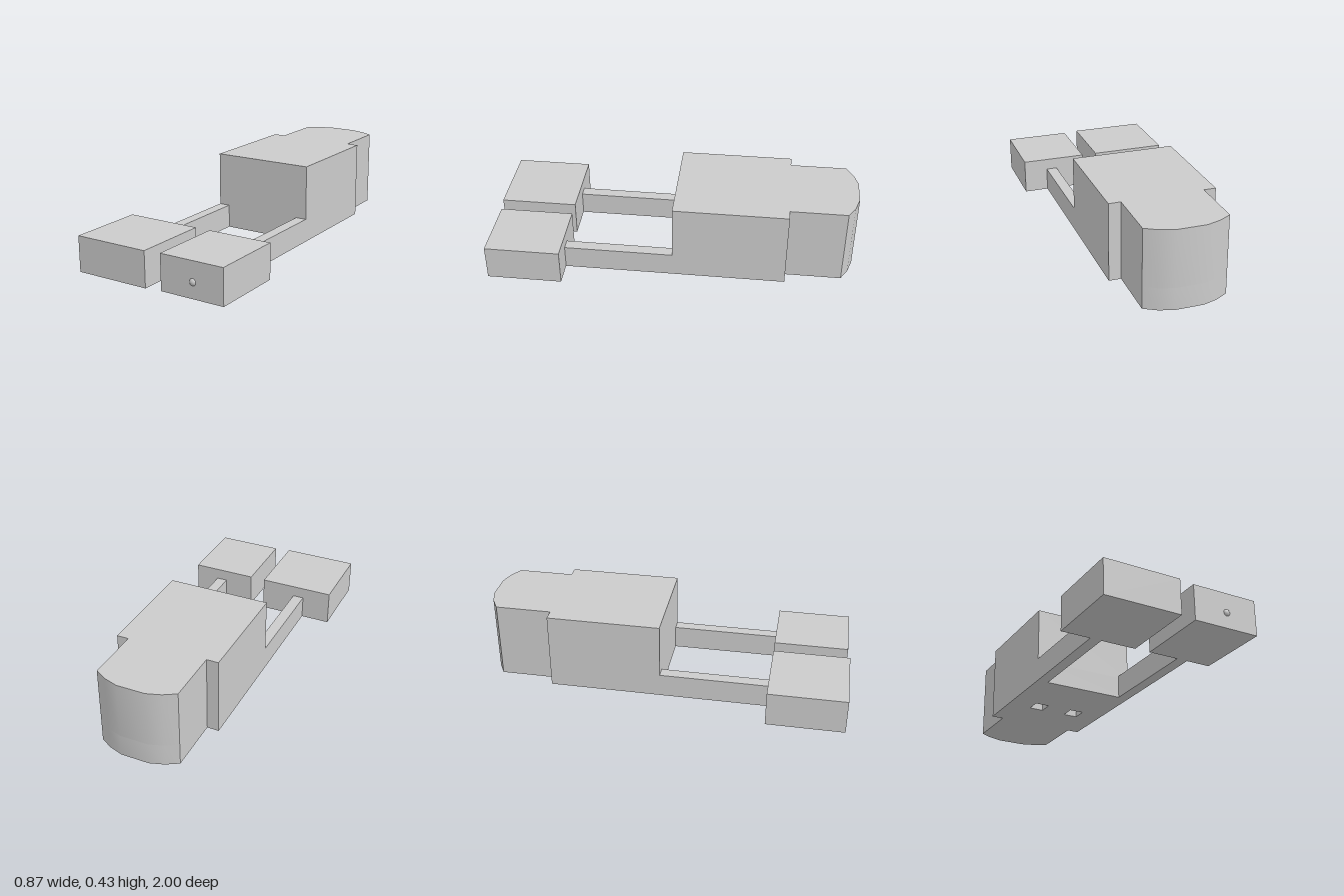
import * as THREE from 'three';
import { toCreasedNormals } from 'three/addons/utils/BufferGeometryUtils.js';

const material = new THREE.MeshStandardMaterial({ color: 0xcccccc });

function add(group, name, geometry) {
  const mesh = new THREE.Mesh(geometry, material);
  mesh.name = name;
  group.add(mesh);
  return mesh;
}

// Box given by its limits on each axis
function addBox(group, name, [x0, x1], [y0, y1], [z0, z1]) {
  add(group, name, new THREE.BoxGeometry(x1 - x0, y1 - y0, z1 - z0))
    .position.set((x0 + x1) / 2, (y0 + y1) / 2, (z0 + z1) / 2);
}

// Plan outline [x, z], counter-clockwise seen from above
const toPoints = (plan) => plan.map(([x, z]) => new THREE.Vector2(x, -z));

// Upright prism from a plan outline
function prism(shape, y0, y1) {
  const geometry = new THREE.ExtrudeGeometry(shape, { depth: y1 - y0, bevelEnabled: false });
  geometry.rotateX(-Math.PI / 2).translate(0, y0, 0);
  return toCreasedNormals(geometry, 0.6);
}

export function createModel() {
  const group = new THREE.Group();
  group.name = 'model';

  // Main body with a narrower, rounded rear end
  const plan = toPoints([
    [-0.272, -0.015], [0.298, -0.015], [0.298, -0.63], [0.233, -0.63], [0.233, -0.935],
    [0.168, -0.973], [0.09, -0.998], [-0.065, -0.998], [-0.142, -0.973], [-0.207, -0.935],
    [-0.207, -0.63], [-0.272, -0.63],
  ]);
  const socketDepth = 0.12;
  add(group, 'body', prism(new THREE.Shape(plan), socketDepth, 0.428));

  // Lower body with two square sockets open to the underside
  const base = new THREE.Shape(plan);
  const s = 0.04;
  for (const x of [-0.094, 0.128]) {
    const z = -0.36;
    base.holes.push(new THREE.Path(toPoints([
      [x - s, z - s], [x + s, z - s], [x + s, z + s], [x - s, z + s],
    ])));
  }
  add(group, 'bodyBase', prism(base, 0, socketDepth));

  // Connecting arms
  addBox(group, 'rightArm', [-0.272, -0.21], [0, 0.13], [-0.015, 0.58]);
  addBox(group, 'leftArm', [0.237, 0.298], [0, 0.13], [-0.015, 0.58]);

  // Front blocks
  addBox(group, 'rightBlock', [-0.435, -0.015], [0, 0.193], [0.578, 0.998]);
  addBox(group, 'leftBlock', [0.07, 0.433], [0, 0.193], [0.578, 0.985]);

  // Round button on the left block
  const button = add(group, 'button', new THREE.SphereGeometry(0.022, 24, 16));
  button.position.set(0.258, 0.085, 0.973);

  return group;
}
